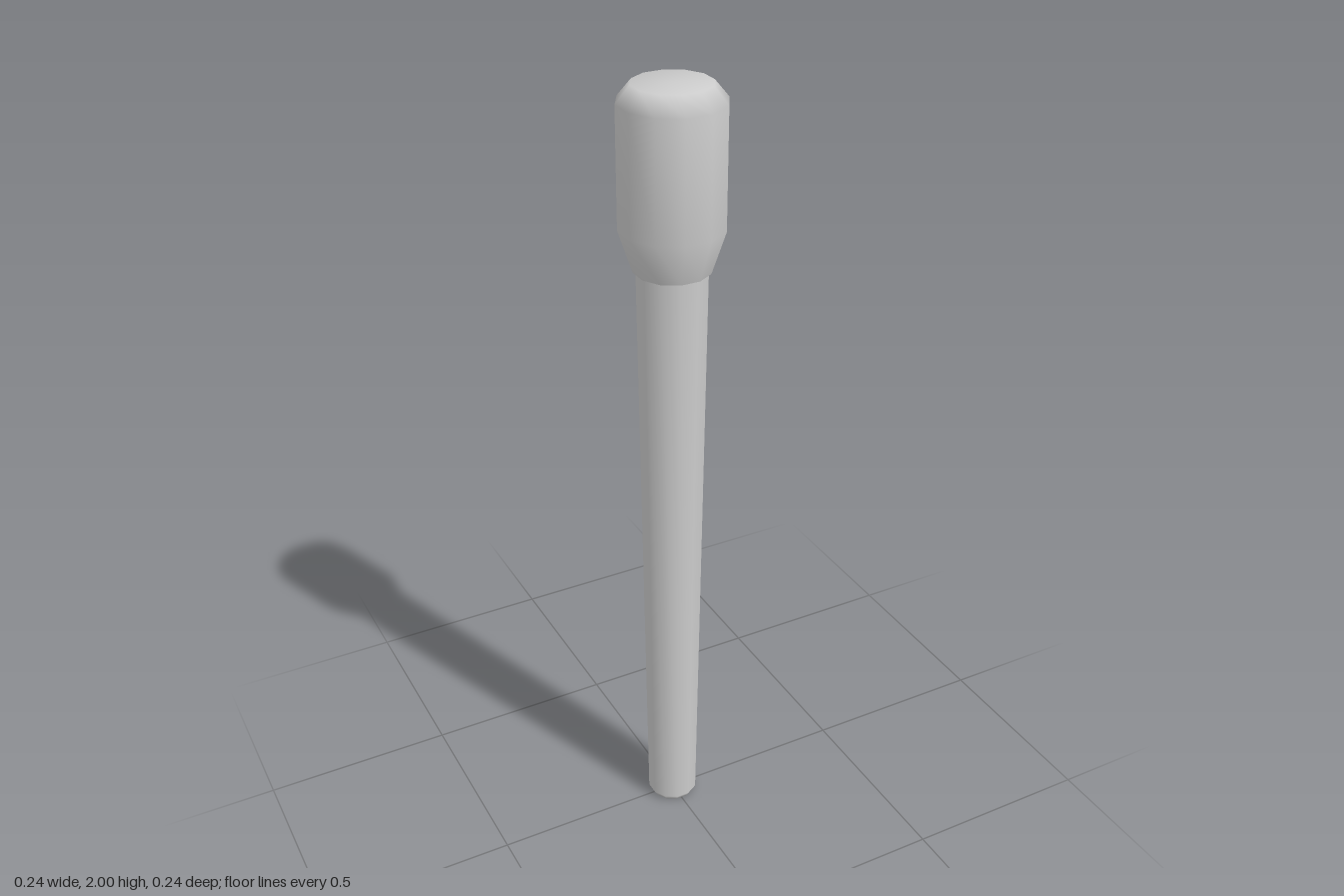
import * as THREE from 'three';

const SIDES = 12;
const TURN = Math.PI / SIDES; // puts flat sides on the x and z axes
const toCorner = 1 / Math.cos(TURN); // half-width across flats to corner radius

export function createModel() {
  const group = new THREE.Group();
  const material = new THREE.MeshStandardMaterial({ color: 0xcccccc });

  const add = (name, geometry) => {
    const mesh = new THREE.Mesh(geometry, material);
    mesh.name = name;
    group.add(mesh);
    return mesh;
  };

  // Smooth turned part from [half-width, height] pairs, bottom to top
  const turned = (profile) => new THREE.LatheGeometry(
    profile.map(([r, y]) => new THREE.Vector2(r * toCorner, y)), SIDES, TURN);

  // Tapered shaft with a small chamfer at the foot
  add('shaft', turned([[0, 0], [0.054, 0], [0.064, 0.017], [0.083, 1.575]]));

  // Thick head: flared base, straight body, chamfered top
  add('head', turned([[0.089, 1.57], [0.122, 1.675], [0.122, 1.96], [0.09, 2], [0, 2]]));

  // Narrow underside step where the head overhangs the shaft
  const step = add('headUnderside',
    new THREE.RingGeometry(0.08 * toCorner, 0.089 * toCorner, SIDES, 1, TURN));
  step.rotation.x = Math.PI / 2;
  step.position.y = 1.57;

  return group;
}
